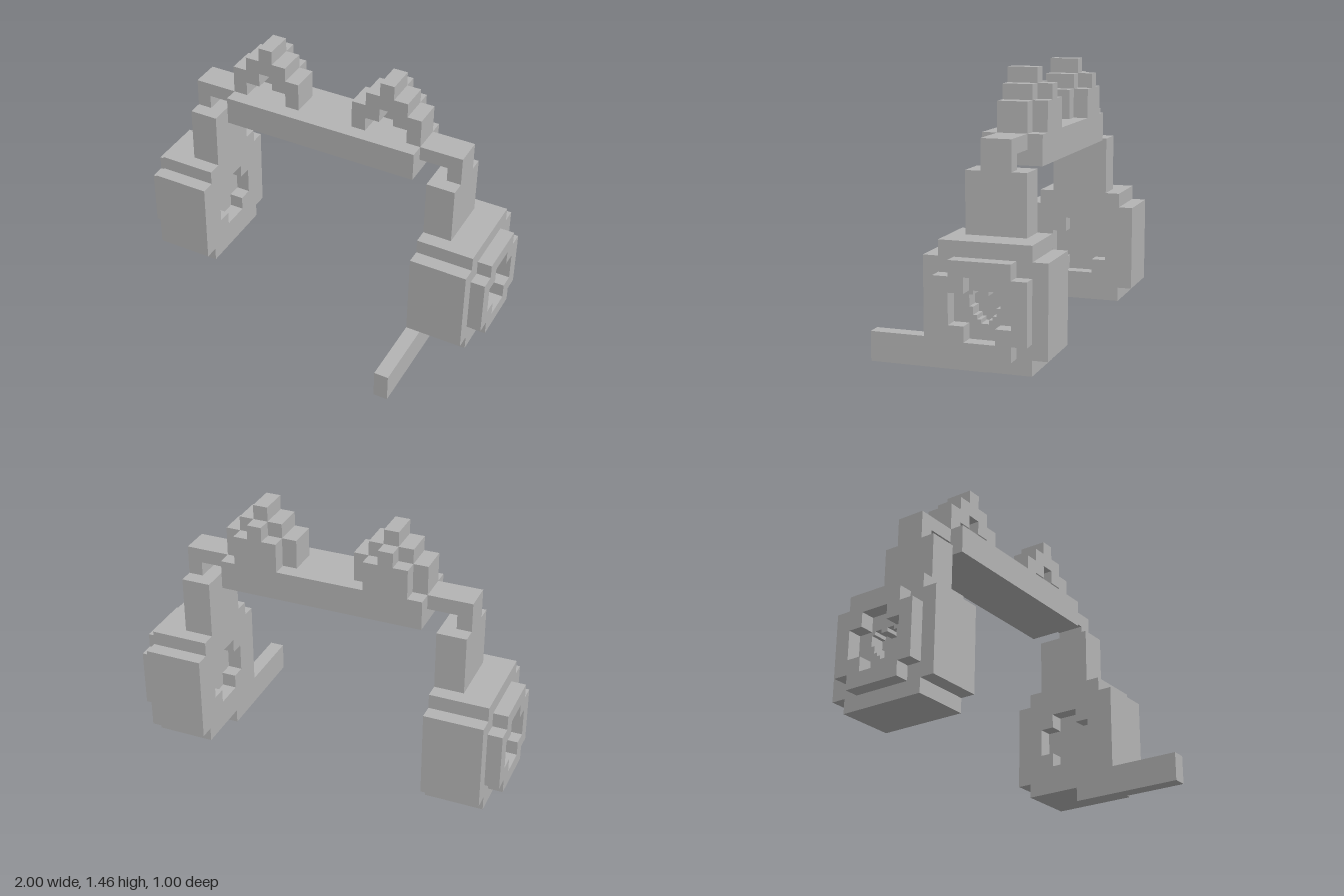
import * as THREE from 'three';

const U = 1 / 13; // one block
const CZ = -2.5;  // headset centre in z, in blocks
const CY = 5;     // ear cup centre height, in blocks

// Closed outline from its right half, listed bottom to top
function mirrored(half, Type = THREE.Shape) {
  const pts = [...half, ...half.map(([x, y]) => [-x, y]).reverse()];
  return new Type(pts.map(([x, y]) => new THREE.Vector2(x, y)));
}

// Square of half size r with stepped corners of one block
const steppedHalf = (r) => [[r - 1, -r], [r - 1, 1 - r], [r, 1 - r], [r, r - 1], [r - 1, r - 1], [r - 1, r]];

const heartHalf = [
  [1, 0], [1, 1], [2, 1], [2, 2], [3, 2], [3, 4], [4, 4], [4, 7], [3, 7], [3, 8], [1, 8], [1, 7],
].map(([x, y]) => [x / 4, y / 4 - 1]);

export function createModel() {
  const model = new THREE.Group();
  model.name = 'catEarHeadset';
  const grey = new THREE.MeshStandardMaterial({ color: 0xb4b4b4 });
  grey.name = 'grey';

  function add(name, geometry, parent = model) {
    geometry.scale(U, U, U);
    const mesh = new THREE.Mesh(geometry, grey);
    mesh.name = name;
    parent.add(mesh);
  }

  // Box between two corners, in blocks
  function box(name, [x0, y0, z0], [x1, y1, z1], parent) {
    const g = new THREE.BoxGeometry(Math.abs(x1 - x0), y1 - y0, z1 - z0);
    add(name, g.translate((x0 + x1) / 2, (y0 + y1) / 2, (z0 + z1) / 2), parent);
  }

  const extrude = (shape, depth) => new THREE.ExtrudeGeometry(shape, { depth, bevelEnabled: false });

  // Slab of an ear cup, from x0 to x1 on the given side
  function slab(name, r, hole, x0, x1, side, parent) {
    const shape = mirrored(steppedHalf(r));
    if (hole) shape.holes.push(mirrored(hole, THREE.Path));
    const g = extrude(shape, x1 - x0).rotateY(Math.PI / 2);
    add(name, g.translate(side > 0 ? x0 : -x1, CY, CZ), parent);
  }

  // Headband
  box('headband', [-7, 13, CZ - 2], [7, 15, CZ + 2]);

  for (const side of [1, -1]) {
    const label = side > 0 ? 'left' : 'right';

    // Ear cup: cushion opening, solid core, heart recess, raised outer ring
    const cup = new THREE.Group();
    cup.name = label + 'EarCup';
    model.add(cup);
    slab('cushion', 4, steppedHalf(2), 8, 9, side, cup);
    slab('core', 4, null, 9, 11, side, cup);
    slab('heartPlate', 4, heartHalf, 11, 12, side, cup);
    slab('outerRing', 3, steppedHalf(2), 12, 13, side, cup);

    // Arm and the thin hook joining it to the headband
    box(label + 'Arm', [side * 8, 9, CZ - 2], [side * 10, 13, CZ + 2]);
    box(label + 'HookPost', [side * 9, 13, CZ - 1], [side * 10, 14, CZ + 1]);
    box(label + 'HookBar', [side * 7, 14, CZ - 1], [side * 10, 15, CZ + 1]);

    // Cat ear: stepped arch in front of a smaller stepped back
    const ear = new THREE.Group();
    ear.name = label + 'CatEar';
    model.add(ear);
    const arch = mirrored([
      [0.5, 17], [0.5, 16], [1.5, 16], [1.5, 15], [2.5, 15],
      [2.5, 17], [1.5, 17], [1.5, 18], [0.5, 18], [0.5, 19],
    ]);
    const back = mirrored([[1.5, 15], [1.5, 17], [0.5, 17], [0.5, 18]]);
    add('earArch', extrude(arch, 2).translate(side * 4.5, 0, CZ - 1), ear);
    add('earBack', extrude(back, 1).translate(side * 4.5, 0, CZ - 2), ear);
  }

  // Microphone boom under the left cup
  box('microphoneBoom', [8, 0, CZ + 1], [9, 2, 6.5]);

  return model;
}
